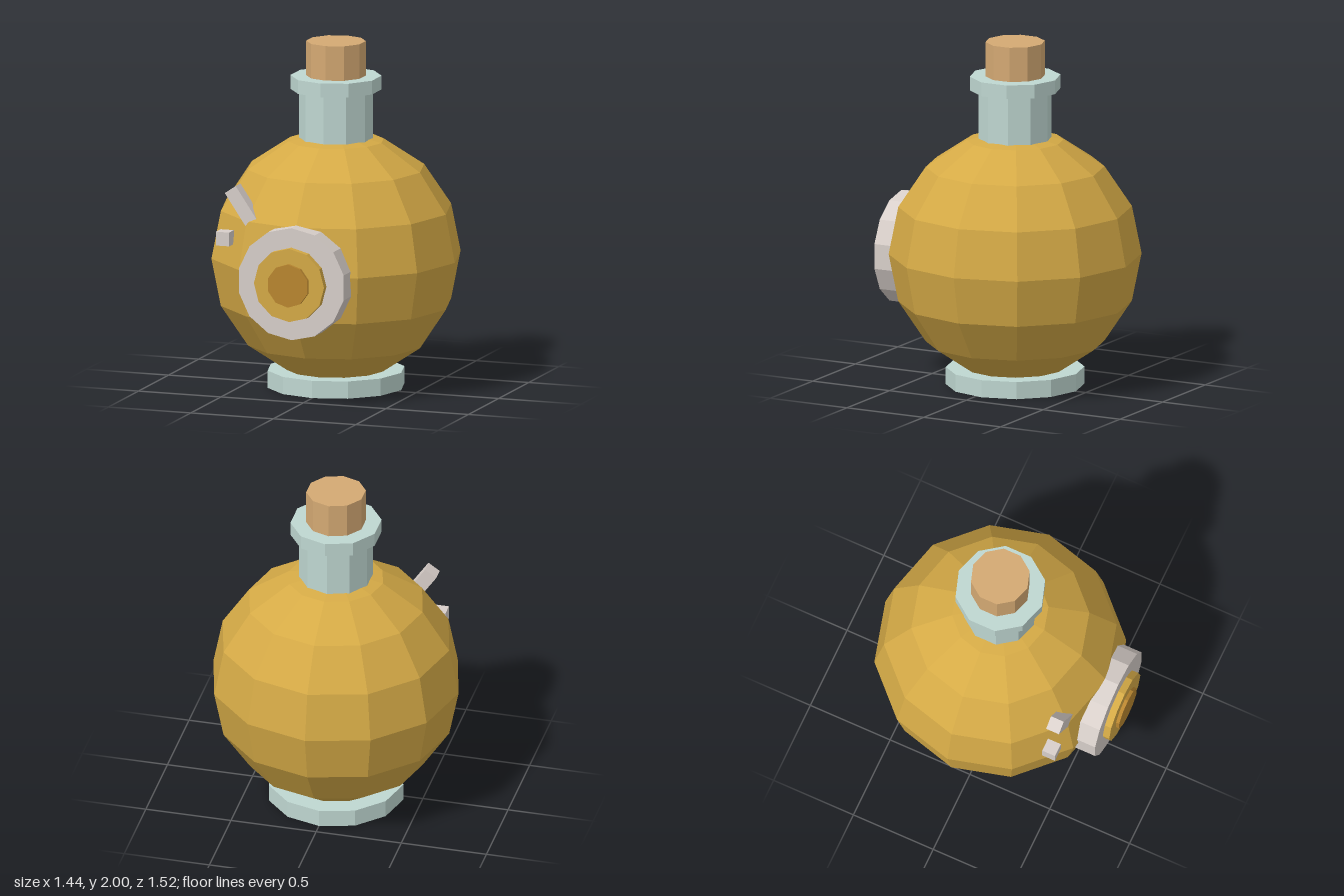
import * as THREE from 'three';

const AXIS_Z = -0.04; // vertical axis of the flask

function material(name, color) {
  const m = new THREE.MeshStandardMaterial({ color, flatShading: true });
  m.name = name;
  return m;
}

export function createModel() {
  const model = new THREE.Group();
  model.name = 'roundFlask';

  const gold = material('gold', 0xd5aa46);
  const amber = material('amber', 0xba8730);
  const glass = material('paleGlass', 0xbfd7d1);
  const cork = material('cork', 0xd4a973);
  const pale = material('paleGrey', 0xd8cfca);

  const add = (name, geometry, mat, x, y, z) => {
    const mesh = new THREE.Mesh(geometry, mat);
    mesh.name = name;
    mesh.position.set(x, y, z);
    model.add(mesh);
    return mesh;
  };

  // Upright cylinder on the flask axis, from y0 to y1
  const upright = (name, r, sides, y0, y1, mat) =>
    add(name, new THREE.CylinderGeometry(r, r, y1 - y0, sides), mat, 0, (y0 + y1) / 2, AXIS_Z);

  // Disc facing the front, from z0 to z1
  const disc = (name, r, sides, z0, z1, mat) => {
    const geometry = new THREE.CylinderGeometry(r, r, z1 - z0, sides).rotateX(Math.PI / 2);
    return add(name, geometry, mat, 0, 0.725, (z0 + z1) / 2);
  };

  // Faceted round body
  add('body', new THREE.SphereGeometry(0.72, 12, 8), gold, 0, 0.76, AXIS_Z);

  // Foot, neck, lip and stopper
  upright('foot', 0.395, 12, 0, 0.1, glass);
  upright('neck', 0.21, 10, 1.38, 1.73, glass);
  upright('lip', 0.26, 10, 1.72, 1.8, glass);
  upright('stopper', 0.17, 10, 1.7, 2.0, cork);

  // Stepped medallion on the front
  disc('medallionPlate', 0.325, 14, 0.575, 0.7, pale);
  disc('medallionRing', 0.2125, 12, 0.68, 0.74, gold);
  disc('medallionCentre', 0.125, 10, 0.72, 0.76, amber);

  // Raised highlights beside the medallion
  add('highlightBar', new THREE.BoxGeometry(0.08, 0.28, 0.08), pale, -0.35, 1.1, 0.5).rotation.z = 0.6;
  add('highlightDot', new THREE.BoxGeometry(0.08, 0.08, 0.08), pale, -0.476, 0.925, 0.5);

  return model;
}
